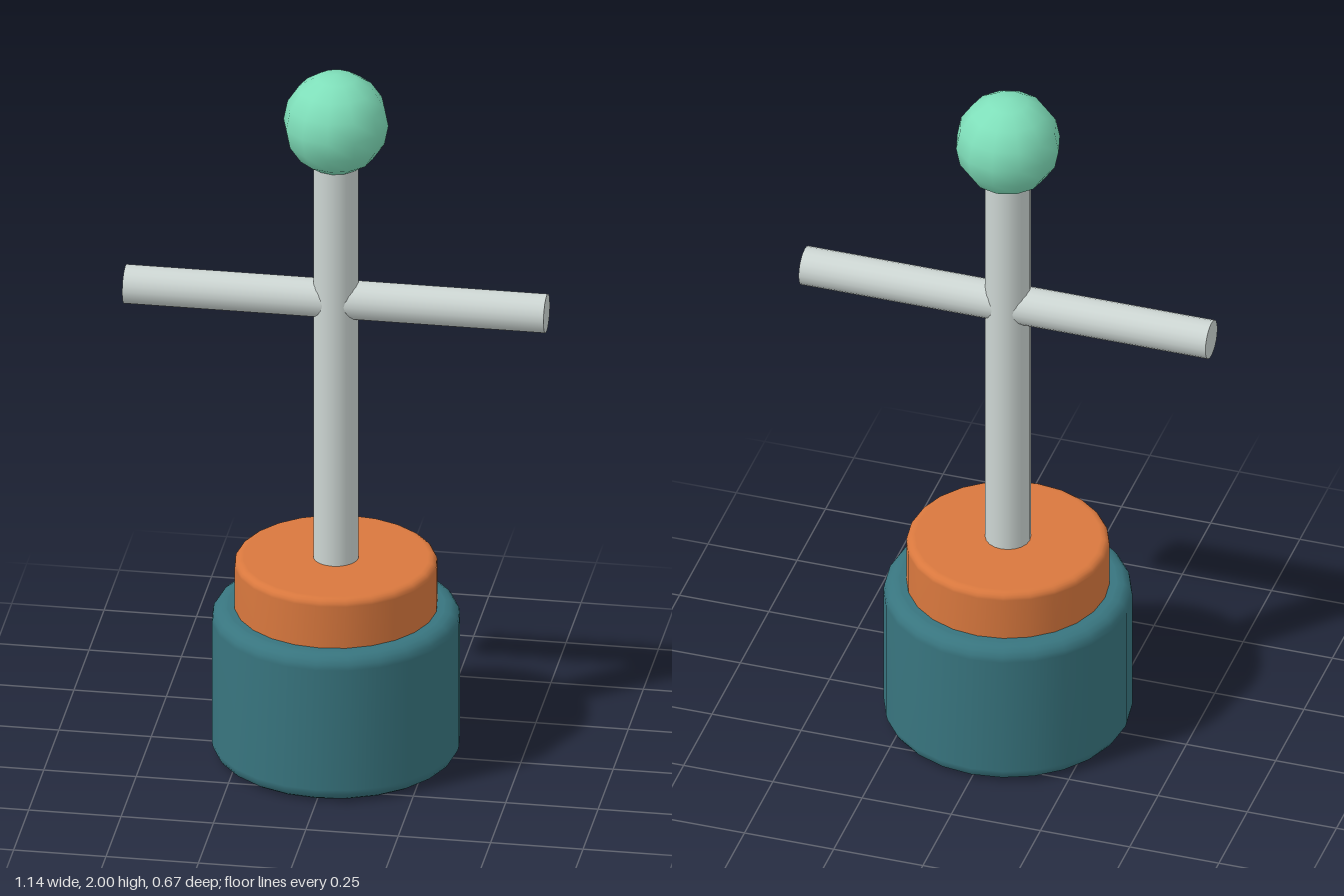
import * as THREE from 'three';

const mat = (name, color) => {
  const m = new THREE.MeshStandardMaterial({ color });
  m.name = name;
  return m;
};

// Solid disc with rounded top and bottom rims, standing on y = 0
function roundedDrum(radius, height, bevel, sides) {
  const steps = 4;
  const pts = [new THREE.Vector2(0, 0), new THREE.Vector2(radius - bevel - 0.004, 0)];
  const arc = (cy, start) => {
    for (let i = 0; i <= steps; i++) {
      const a = start + (i / steps) * Math.PI / 2;
      pts.push(new THREE.Vector2(radius - bevel + bevel * Math.cos(a), cy + bevel * Math.sin(a)));
    }
  };
  arc(bevel, -Math.PI / 2);
  arc(height - bevel, 0);
  pts.push(new THREE.Vector2(radius - bevel - 0.004, height), new THREE.Vector2(0, height));
  return new THREE.LatheGeometry(pts, sides);
}

export function createModel() {
  const model = new THREE.Group();
  model.name = 'leverPost';
  const teal = mat('teal', 0x38757f);
  const orange = mat('orange', 0xd9783e);
  const steel = mat('steel', 0xcdd6d3);
  const mint = mat('mint', 0x7fdfba);

  const add = (name, geometry, material, y) => {
    const mesh = new THREE.Mesh(geometry, material);
    mesh.name = name;
    mesh.position.y = y;
    model.add(mesh);
    return mesh;
  };

  // Stepped base
  add('base', roundedDrum(0.333, 0.43, 0.038, 24), teal, 0);
  add('collar', roundedDrum(0.272, 0.202, 0.02, 24), orange, 0.37);

  // Upright post and the crossbar through it
  add('post', new THREE.CylinderGeometry(0.061, 0.061, 1.24, 20), steel, 1.15);
  const bar = add('crossbar', new THREE.CylinderGeometry(0.053, 0.053, 1.14, 20), steel, 1.336);
  bar.rotation.z = Math.PI / 2;

  // Ball on top
  add('knob', new THREE.SphereGeometry(0.142, 12, 8), mint, 1.858);

  return model;
}
